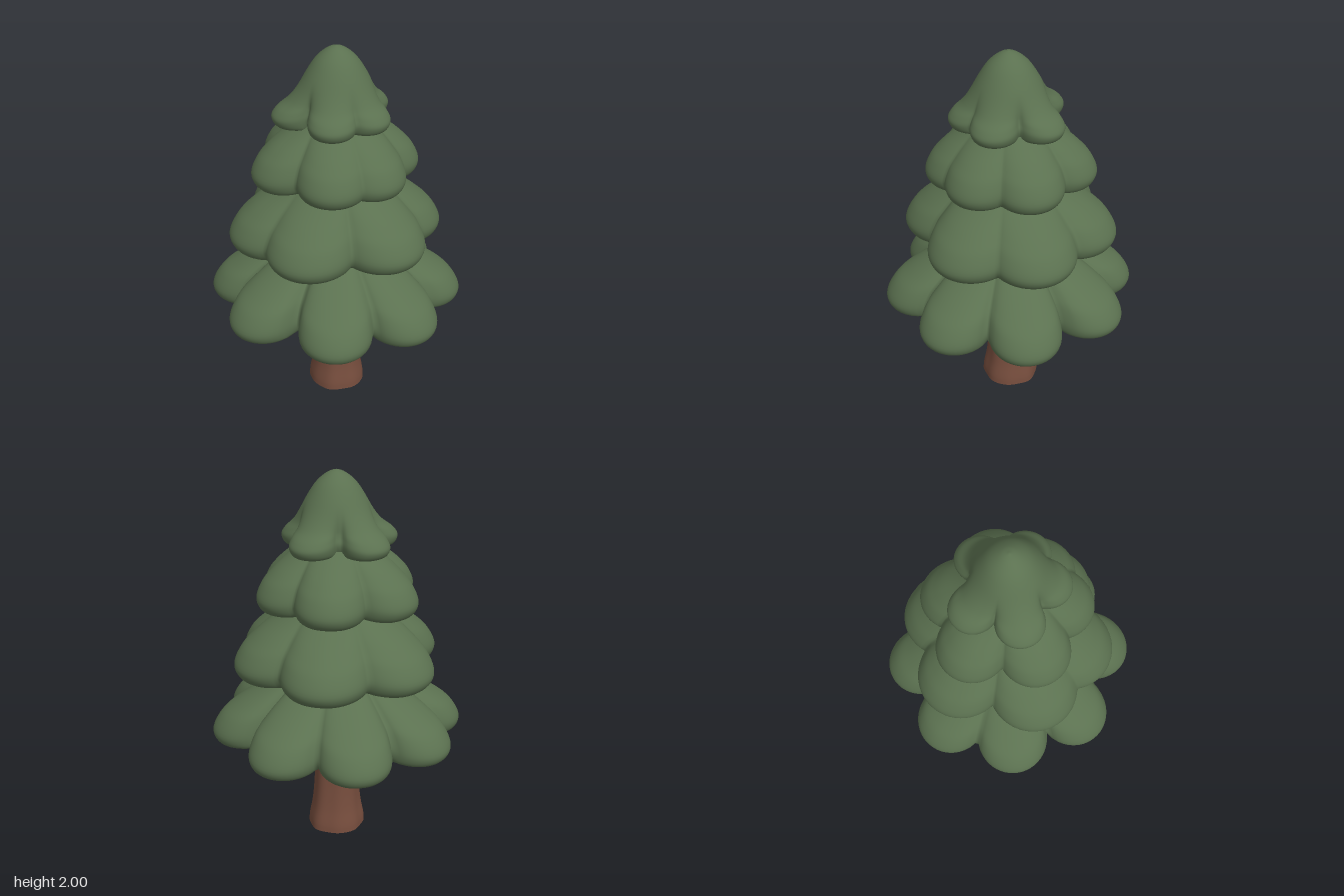
import * as THREE from 'three';
import { mergeVertices } from 'three/addons/utils/BufferGeometryUtils.js';

const SEGMENTS = 180;

const smoothProfile = (points, divisions) =>
  new THREE.CatmullRomCurve3(points.map(([r, y]) => new THREE.Vector3(r, y, 0))).getPoints(divisions);

// Closed surface of rings: profile runs from top to bottom, place(point, angle) gives each vertex
function ringSurface(profile, place) {
  const positions = [], index = [];
  for (const p of profile) {
    for (let i = 0; i < SEGMENTS; i++) positions.push(...place(p, (i / SEGMENTS) * Math.PI * 2));
  }
  for (let j = 0; j < profile.length - 1; j++) {
    for (let i = 0; i < SEGMENTS; i++) {
      const a = j * SEGMENTS + i, b = j * SEGMENTS + ((i + 1) % SEGMENTS);
      index.push(a, b, b + SEGMENTS, a, b + SEGMENTS, a + SEGMENTS);
    }
  }
  const geometry = new THREE.BufferGeometry();
  geometry.setAttribute('position', new THREE.Float32BufferAttribute(positions, 3));
  geometry.setIndex(index);
  return geometry;
}

// Outline radius at an angle: union of round lobes, the back ones reaching slightly farther
function outlineRadius({ angles, reach, lean, width, valley }, angle) {
  let radius = valley;
  for (const degrees of angles) {
    const lobe = THREE.MathUtils.degToRad(degrees);
    const d = reach - lean * Math.sin(lobe) - width;
    const along = Math.cos(angle - lobe), across = d * Math.sin(angle - lobe);
    if (along > 0 && Math.abs(across) < width) {
      radius = Math.max(radius, d * along + Math.sqrt(width * width - across * across));
    }
  }
  return radius;
}

// Tier cross-sections as [share of radius, share of height]: slope or dome above, lip below
const slope = [[0, 1], [0.25, 0.82], [0.4, 0.67], [0.58, 0.53], [0.8, 0.375], [0.93, 0.26]];
const dome = [[0, 1], [0.15, 0.965], [0.36, 0.85], [0.55, 0.66], [0.8, 0.33], [0.94, 0.21]];
const roundLip = [[1, 0.12], [0.95, 0.03], [0.82, 0], [0.6, 0.05], [0.3, 0.12], [0, 0.15]];
const flatLip = [[1, 0.11], [0.97, 0.03], [0.89, 0], [0.6, 0.005], [0.3, 0.025], [0, 0.03]];

// Lobe angles run from +x towards +z; core is the plain radius that turns lobed over the fade range
const tiers = {
  bottomFoliage: {
    base: 0.56, height: 0.59, reach: 0.67, lean: 0.006, width: 0.188, valley: 0.47, core: 0.6,
    fade: [0.15, 0.65], angles: [-2, 45, 90, 135, 184, 228, 270, 315], upper: slope, lip: flatLip,
  },
  lowerMiddleFoliage: {
    base: 0.94, height: 0.61, reach: 0.559, lean: 0.015, width: 0.23, valley: 0.4, core: 0.51,
    fade: [0.3, 0.8], angles: [34, 90, 157, 209, 275, 335], upper: slope, lip: roundLip,
  },
  upperMiddleFoliage: {
    base: 1.3, height: 0.55, reach: 0.437, lean: 0.022, width: 0.18, valley: 0.31, core: 0.39,
    fade: [0.3, 0.8], angles: [32, 90, 139, 203, 270, 332], upper: slope, lip: roundLip,
  },
  topFoliage: {
    base: 1.6, height: 0.4, reach: 0.312, lean: 0.02, width: 0.12, valley: 0.2, core: 0.27,
    fade: [0.58, 0.98], angles: [2, 78, 141, 216, 283], upper: dome, lip: roundLip,
  },
};

function foliageGeometry(tier) {
  const profile = smoothProfile([...tier.upper, ...tier.lip], 56);
  const geometry = ringSurface(profile, (p, angle) => {
    const share = Math.max(0, p.x);
    const outline = outlineRadius(tier, angle);
    const lobed = THREE.MathUtils.smoothstep(share, ...tier.fade);
    const r = share * THREE.MathUtils.lerp(tier.core, outline, lobed);
    // valleys between lobes sit slightly higher
    const lift = 0.2 * lobed * Math.max(0, tier.reach - outline);
    return [Math.cos(angle) * r, tier.base + tier.height * p.y + lift, Math.sin(angle) * r];
  });
  const merged = mergeVertices(geometry, 1e-5);
  merged.computeVertexNormals();
  return merged;
}

// Flared trunk with soft uneven ridges and a flat, sharp-edged base
function trunkGeometry() {
  const side = smoothProfile([[0.11, 0.75], [0.118, 0.56], [0.117, 0.4], [0.122, 0.25],
    [0.133, 0.13], [0.149, 0.04], [0.152, 0]], 24);
  const profile = [...side, new THREE.Vector3(0.152, 0, 0), new THREE.Vector3()];
  const geometry = ringSurface(profile, (p, angle) => {
    const r = p.x * (1 + 0.02 * Math.sin(5 * angle + 0.6) + 0.01 * Math.sin(8 * angle + 3 * p.y));
    return [0.008 + Math.cos(angle) * r, Math.max(0, p.y), Math.sin(angle) * r - 0.004];
  });
  geometry.computeVertexNormals();
  return geometry;
}

export function createModel() {
  const foliage = new THREE.MeshStandardMaterial({ color: 0x5b7150 });
  foliage.name = 'foliageGreen';
  const bark = new THREE.MeshStandardMaterial({ color: 0x764d3d });
  bark.name = 'barkBrown';

  const tree = new THREE.Group();
  tree.name = 'pineTree';
  const add = (name, geometry, material) => {
    const mesh = new THREE.Mesh(geometry, material);
    mesh.name = name;
    tree.add(mesh);
  };
  add('trunk', trunkGeometry(), bark);
  for (const [name, tier] of Object.entries(tiers)) add(name, foliageGeometry(tier), foliage);
  return tree;
}
